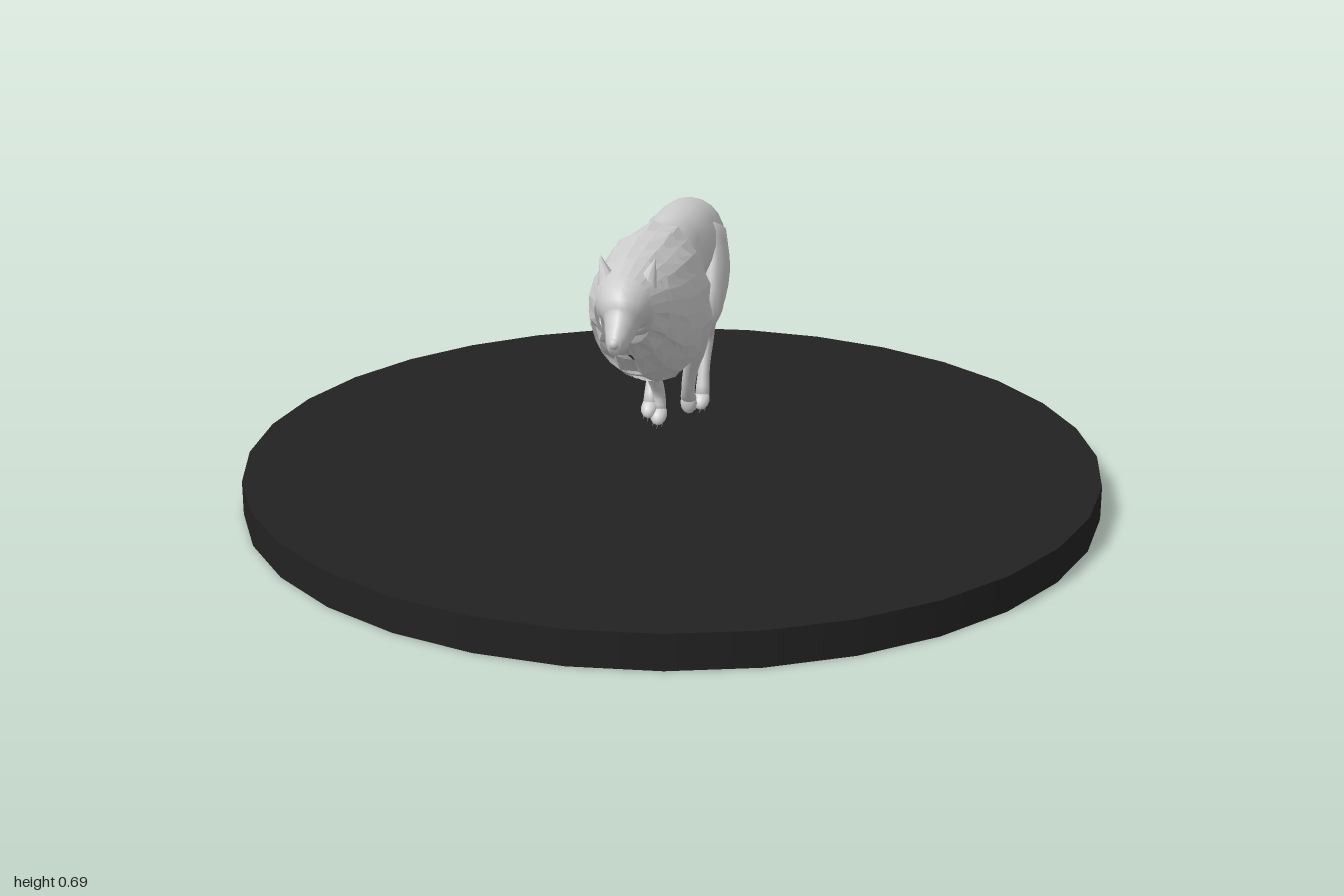
import * as THREE from 'three';

const grey = new THREE.MeshStandardMaterial({ color: 0xcccccc });
const fur = new THREE.MeshStandardMaterial({ color: 0xcccccc, flatShading: true, side: THREE.DoubleSide });
const dark = new THREE.MeshStandardMaterial({ color: 0x222222 });

function mesh(name, geometry, material = grey) {
  const m = new THREE.Mesh(geometry, material);
  m.name = name;
  return m;
}

function build(points, index) {
  const g = new THREE.BufferGeometry();
  g.setAttribute('position', new THREE.Float32BufferAttribute(points, 3));
  g.setIndex(index);
  g.computeVertexNormals();
  return g;
}

// Smooth closed skin over elliptical sections [x, y, z, halfWidth, halfDepth],
// each turned square to the path in the side plane.
function loft(sections, sides = 14, steps = 3) {
  const path = new THREE.CatmullRomCurve3(sections.map(s => new THREE.Vector3(s[0], s[1], s[2])), false, 'centripetal');
  const last = sections.length - 1, rings = last * steps;
  const points = [], index = [];
  for (let i = 0; i <= rings; i++) {
    const u = i / rings, c = path.getPoint(u), t = path.getTangent(u);
    const k = Math.min(Math.floor(i / steps), last - 1), f = i / steps - k, e = f * f * (3 - 2 * f);
    const w = THREE.MathUtils.lerp(sections[k][3], sections[k + 1][3], e);
    const d = THREE.MathUtils.lerp(sections[k][4], sections[k + 1][4], e);
    const len = Math.hypot(t.y, t.z);
    for (let j = 0; j < sides; j++) {
      const a = j / sides * Math.PI * 2, s = Math.sin(a) * d / len;
      points.push(c.x + Math.cos(a) * w, c.y + s * t.z, c.z - s * t.y);
      if (i < rings) {
        const p = i * sides + j, q = i * sides + (j + 1) % sides;
        index.push(p, q, p + sides, q, q + sides, p + sides);
      }
    }
  }
  // end caps
  const first = points.length / 3, top = rings * sides;
  points.push(...sections[0].slice(0, 3), ...sections[last].slice(0, 3));
  for (let j = 0; j < sides; j++) {
    const n = (j + 1) % sides;
    index.push(first, n, j, first + 1, top + j, top + n);
  }
  return build(points, index);
}

// One open collar of fur: smooth front ring, jagged rear ring that hangs back below.
// Rings are [z, centreY, halfWidth, halfHeight].
function collar(front, rear, seed) {
  const n = 26, points = [], index = [];
  for (let row = 0; row < 2; row++) {
    const [z, y, w, h] = row ? rear : front;
    for (let j = 0; j < n; j++) {
      const a = j / n * Math.PI * 2, low = Math.max(0, 0.25 - Math.sin(a));
      const tip = row && j % 2 ? 1 : 0, vary = Math.sin(j * 7.3 + seed * 4.1);
      const s = 1 + tip * (0.03 + 0.04 * low + 0.02 * vary);
      points.push(Math.cos(a) * w * s, y + Math.sin(a) * h * s, z - tip * (0.012 + 0.035 * low + 0.008 * vary));
      if (!row) {
        const k = (j + 1) % n;
        index.push(j, j + n, k, k, j + n, k + n);
      }
    }
  }
  return build(points, index);
}

export function createModel() {
  const model = new THREE.Group();
  model.name = 'runningWolf';

  // Round base
  const base = mesh('base', new THREE.CylinderGeometry(1, 1, 0.08, 32), dark);
  base.position.y = 0.04;
  model.add(base);

  // Trunk, head and tail
  model.add(mesh('body', loft([
    [0, 0.55, -0.31, 0.025, 0.04], [0, 0.56, -0.27, 0.06, 0.07], [0, 0.562, -0.2, 0.085, 0.093],
    [0, 0.57, -0.1, 0.083, 0.095], [0, 0.555, 0, 0.076, 0.105], [0, 0.535, 0.1, 0.098, 0.13],
    [0, 0.53, 0.2, 0.1, 0.145], [0, 0.55, 0.3, 0.085, 0.115], [0, 0.57, 0.4, 0.065, 0.085]], 20)));
  model.add(mesh('head', loft([
    [0, 0.575, 0.37, 0.075, 0.085], [0, 0.585, 0.44, 0.075, 0.076], [0, 0.578, 0.475, 0.06, 0.064],
    [0, 0.553, 0.505, 0.036, 0.044], [0, 0.53, 0.54, 0.026, 0.033], [0, 0.52, 0.57, 0.014, 0.018]], 16)));
  model.add(mesh('tail', loft([
    [0, 0.59, -0.25, 0.02, 0.025], [0, 0.545, -0.29, 0.022, 0.026], [0, 0.47, -0.345, 0.032, 0.033],
    [0, 0.42, -0.42, 0.035, 0.036], [0, 0.385, -0.49, 0.026, 0.026], [0, 0.347, -0.59, 0.003, 0.004]])));
  const nose = mesh('nose', new THREE.SphereGeometry(0.012, 10, 8));
  nose.position.set(0, 0.53, 0.567);
  model.add(nose);

  // Ears and eyes
  for (const s of [-1, 1]) {
    const ear = mesh(s > 0 ? 'leftEar' : 'rightEar', new THREE.ConeGeometry(0.026, 0.07, 8));
    ear.scale.z = 0.55;
    ear.position.set(s * 0.05, 0.652, 0.445);
    ear.rotation.set(-0.15, 0, -s * 0.3);
    const eye = mesh(s > 0 ? 'leftEye' : 'rightEye', new THREE.SphereGeometry(0.007, 8, 6), dark);
    eye.position.set(s * 0.035, 0.59, 0.501);
    model.add(ear, eye);
  }

  // Layered mane: each collar starts under the one in front
  const mane = new THREE.Group();
  mane.name = 'mane';
  const rims = [[0.465, 0.575, 0.068, 0.08], [0.415, 0.56, 0.094, 0.112], [0.355, 0.535, 0.108, 0.142],
    [0.295, 0.522, 0.115, 0.16], [0.23, 0.51, 0.119, 0.175], [0.15, 0.5, 0.116, 0.178]];
  for (let i = 1; i < rims.length; i++) {
    const [z, y, w, h] = rims[i - 1];
    mane.add(mesh('maneLayer' + i, collar([z + 0.015, y, w * 0.94, h * 0.96], rims[i], i), fur));
  }
  model.add(mane);

  // Legs gathered under the body; paw ends each path
  const legs = {
    leftForeleg: [[0.06, 0.54, 0.12, 0.03, 0.055], [0.08, 0.45, 0.09, 0.032, 0.05], [0.068, 0.37, 0.055, 0.025, 0.032],
      [0.045, 0.29, 0.012, 0.017, 0.02], [0.034, 0.235, -0.018, 0.016, 0.017], [0.03, 0.208, -0.045, 0.019, 0.014]],
    rightForeleg: [[-0.06, 0.54, 0.12, 0.03, 0.055], [-0.08, 0.45, 0.09, 0.032, 0.05], [-0.068, 0.37, 0.06, 0.025, 0.032],
      [-0.045, 0.29, 0.02, 0.017, 0.02], [-0.035, 0.225, -0.015, 0.015, 0.017], [-0.032, 0.185, -0.008, 0.016, 0.014]],
    leftHindLeg: [[0.06, 0.59, -0.18, 0.03, 0.07], [0.075, 0.51, -0.14, 0.033, 0.07], [0.075, 0.42, -0.085, 0.028, 0.042],
      [0.062, 0.375, -0.11, 0.02, 0.026], [0.054, 0.335, -0.152, 0.016, 0.018], [0.05, 0.26, -0.13, 0.014, 0.015],
      [0.05, 0.195, -0.108, 0.017, 0.016]],
    rightHindLeg: [[-0.06, 0.59, -0.18, 0.03, 0.07], [-0.075, 0.51, -0.13, 0.033, 0.07], [-0.075, 0.42, -0.055, 0.028, 0.042],
      [-0.066, 0.375, -0.065, 0.02, 0.026], [-0.06, 0.33, -0.085, 0.016, 0.018], [-0.057, 0.26, -0.045, 0.014, 0.015],
      [-0.055, 0.2, -0.01, 0.017, 0.016]],
  };
  for (const [name, path] of Object.entries(legs)) {
    const leg = new THREE.Group();
    leg.name = name;
    leg.add(mesh('limb', loft(path, 12)));
    const [x, y, z] = path[path.length - 1];
    const paw = new THREE.Group();
    paw.name = 'paw';
    paw.position.set(x, y, z);
    paw.rotation.x = name === 'leftForeleg' ? 1.6 : 0.75;
    const pad = mesh('foot', new THREE.SphereGeometry(0.02, 12, 8));
    pad.scale.set(1, 0.75, 1.4);
    pad.position.z = 0.012;
    paw.add(pad);
    // Claws
    for (let i = -1; i <= 1; i++) {
      const claw = mesh('claw', new THREE.ConeGeometry(0.005, 0.018, 6), dark);
      claw.position.set(i * 0.011, -0.004, 0.04 - Math.abs(i) * 0.006);
      claw.rotation.x = Math.PI / 2;
      paw.add(claw);
    }
    leg.add(paw);
    model.add(leg);
  }
  return model;
}
